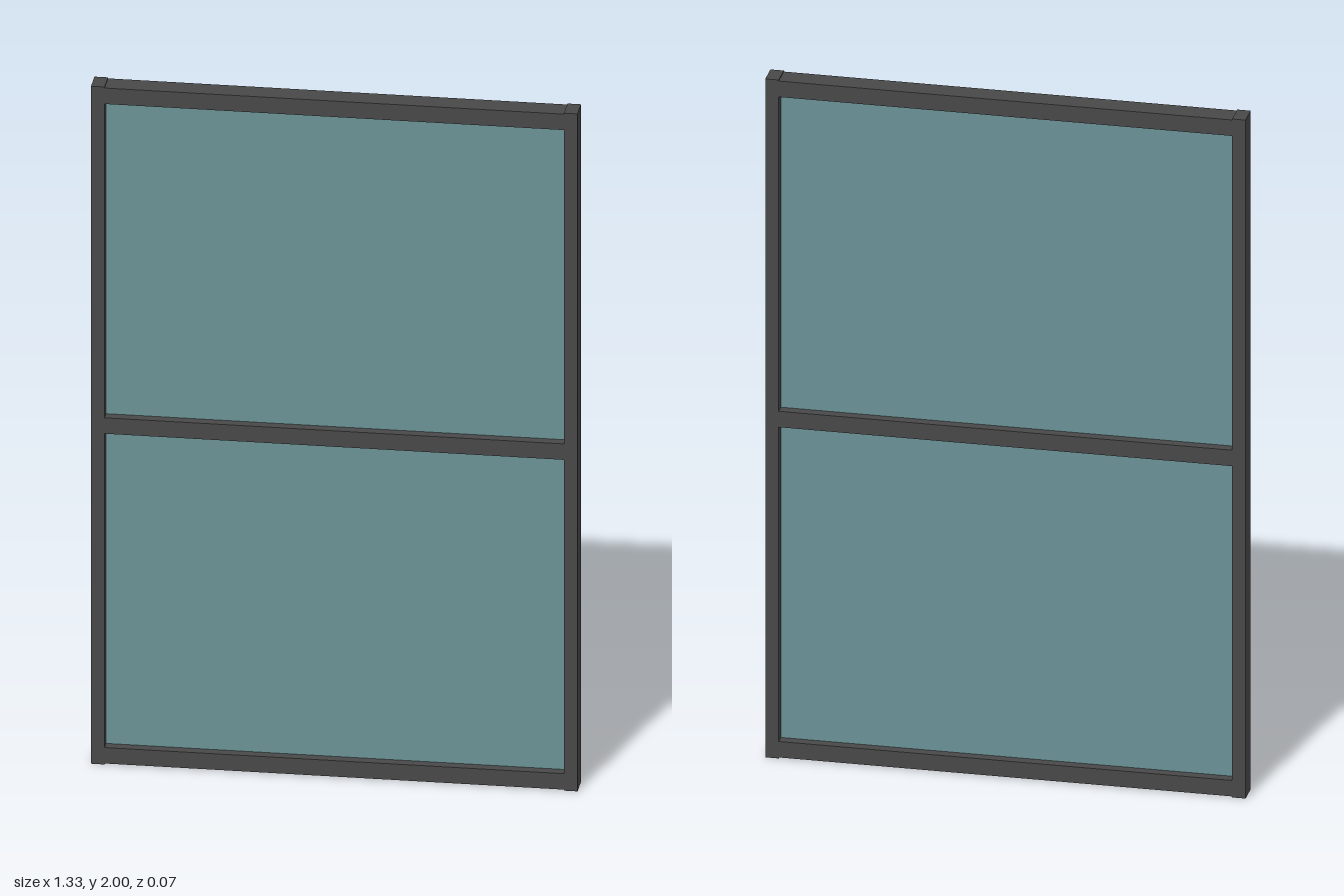
import * as THREE from 'three';

export function createModel() {
  const model = new THREE.Group();
  model.name = 'window';
  const frameGrey = new THREE.MeshStandardMaterial({ color: 0x484848 });
  frameGrey.name = 'frameGrey';
  const glassTeal = new THREE.MeshStandardMaterial({ color: 0x6a9296 });
  glassTeal.name = 'glassTeal';

  const W = 1.33, H = 2, D = 0.066; // overall size
  const post = 0.037, rail = 0.047; // bar widths
  const innerW = W - 2 * post;

  const addBox = (name, material, w, h, d, x, y) => {
    const mesh = new THREE.Mesh(new THREE.BoxGeometry(w, h, d), material);
    mesh.name = name;
    mesh.position.set(x, y, 0);
    model.add(mesh);
  };

  // Upright posts
  for (const [name, side] of [['leftPost', 1], ['rightPost', -1]]) {
    addBox(name, frameGrey, post, H, D, side * (W - post) / 2, H / 2);
  }

  // Cross rails, the outer two set just inside the post ends
  const inset = 0.003;
  addBox('bottomRail', frameGrey, innerW, rail, D, 0, inset + rail / 2);
  addBox('middleRail', frameGrey, innerW, rail, D, 0, H / 2);
  addBox('topRail', frameGrey, innerW, rail, D, 0, H - inset - rail / 2);

  // Glass panes, centred in the depth of the frame
  const paneH = H / 2 - inset - rail * 1.5;
  for (const [name, side] of [['lowerPane', -1], ['upperPane', 1]]) {
    addBox(name, glassTeal, innerW, paneH, 0.009, 0, H / 2 + side * (rail + paneH) / 2);
  }

  return model;
}
